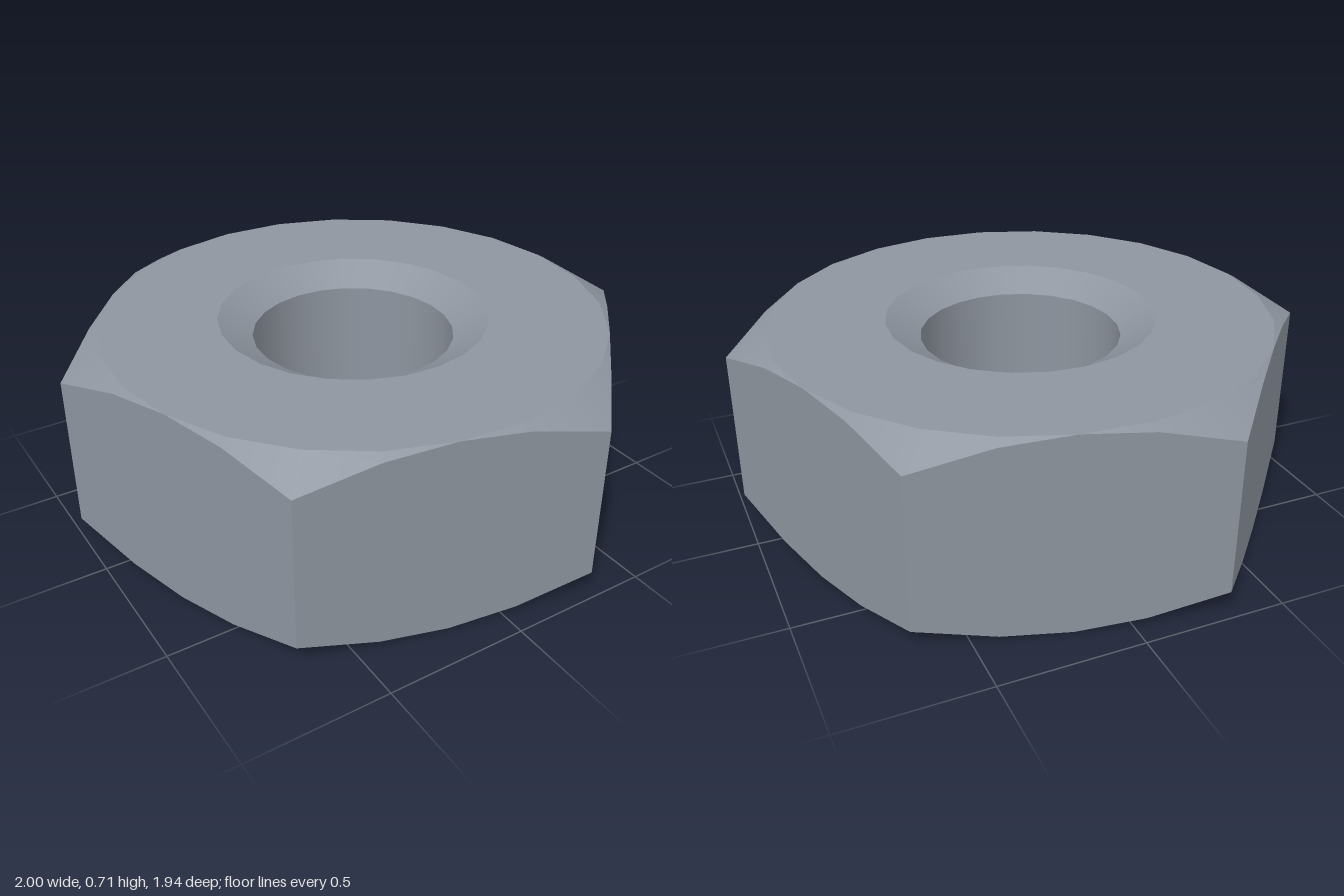
import * as THREE from 'three';

const SEGMENTS = 24;
const HEIGHT = 0.71;
const APOTHEM = 0.885; // centre to flat
const CORNER = APOTHEM / Math.cos(Math.PI / 6);
const CORNER_DROP = 0.08; // chamfer depth at the corners
const BORE = 0.355;
const RIM = 0.475;
const SINK = 0.07; // countersink depth
const TURN = THREE.MathUtils.degToRad(12); // angle of the first corner from +x towards +z
const PHI_START = Math.PI / 2 - TURN;

// Ring between two [radius, y] points; winding runs up outside, down inside
function band(a, b) {
  return new THREE.LatheGeometry([a, b].map(p => new THREE.Vector2(...p)), SEGMENTS, PHI_START);
}

// Distance to the hexagon outline in the direction of x, z
function hexRadius(x, z) {
  const third = Math.PI / 3;
  const angle = Math.atan2(z, x) - TURN;
  const local = ((angle % third) + third) % third;
  return APOTHEM / Math.cos(local - third / 2);
}

// Pull the outermost vertices onto the hexagon, at the height where the chamfer cone meets it
function fitToHexagon(geometry) {
  const p = geometry.attributes.position;
  for (let i = 0; i < p.count; i++) {
    const x = p.getX(i), z = p.getZ(i), r = Math.hypot(x, z);
    if (r < CORNER - 0.01) continue;
    const target = hexRadius(x, z);
    const drop = CORNER_DROP * (target - APOTHEM) / (CORNER - APOTHEM);
    p.setXYZ(i, x * target / r, p.getY(i) > HEIGHT / 2 ? HEIGHT - drop : drop, z * target / r);
  }
  return geometry;
}

export function createModel() {
  const group = new THREE.Group();
  group.name = 'hexNut';
  const steel = new THREE.MeshStandardMaterial({ color: 0x8e959f });
  steel.name = 'steel';

  const add = (name, geometry) => {
    const mesh = new THREE.Mesh(geometry, steel);
    mesh.name = name;
    group.add(mesh);
  };

  // Six flat sides with curved upper and lower edges
  const sides = fitToHexagon(band([CORNER, CORNER_DROP], [CORNER, HEIGHT - CORNER_DROP])).toNonIndexed();
  sides.computeVertexNormals();
  add('hexSides', sides);

  // Conical corner chamfers
  add('topChamfer', fitToHexagon(band([CORNER, HEIGHT - CORNER_DROP], [APOTHEM, HEIGHT])));
  add('bottomChamfer', fitToHexagon(band([APOTHEM, 0], [CORNER, CORNER_DROP])));

  // Flat faces around the hole
  add('topFace', band([APOTHEM, HEIGHT], [RIM, HEIGHT]));
  add('bottomFace', band([RIM, 0], [APOTHEM, 0]));

  // Hole with a countersink at each end
  add('topCountersink', band([RIM, HEIGHT], [BORE, HEIGHT - SINK]));
  add('bore', band([BORE, HEIGHT - SINK], [BORE, SINK]));
  add('bottomCountersink', band([BORE, SINK], [RIM, 0]));

  return group;
}
